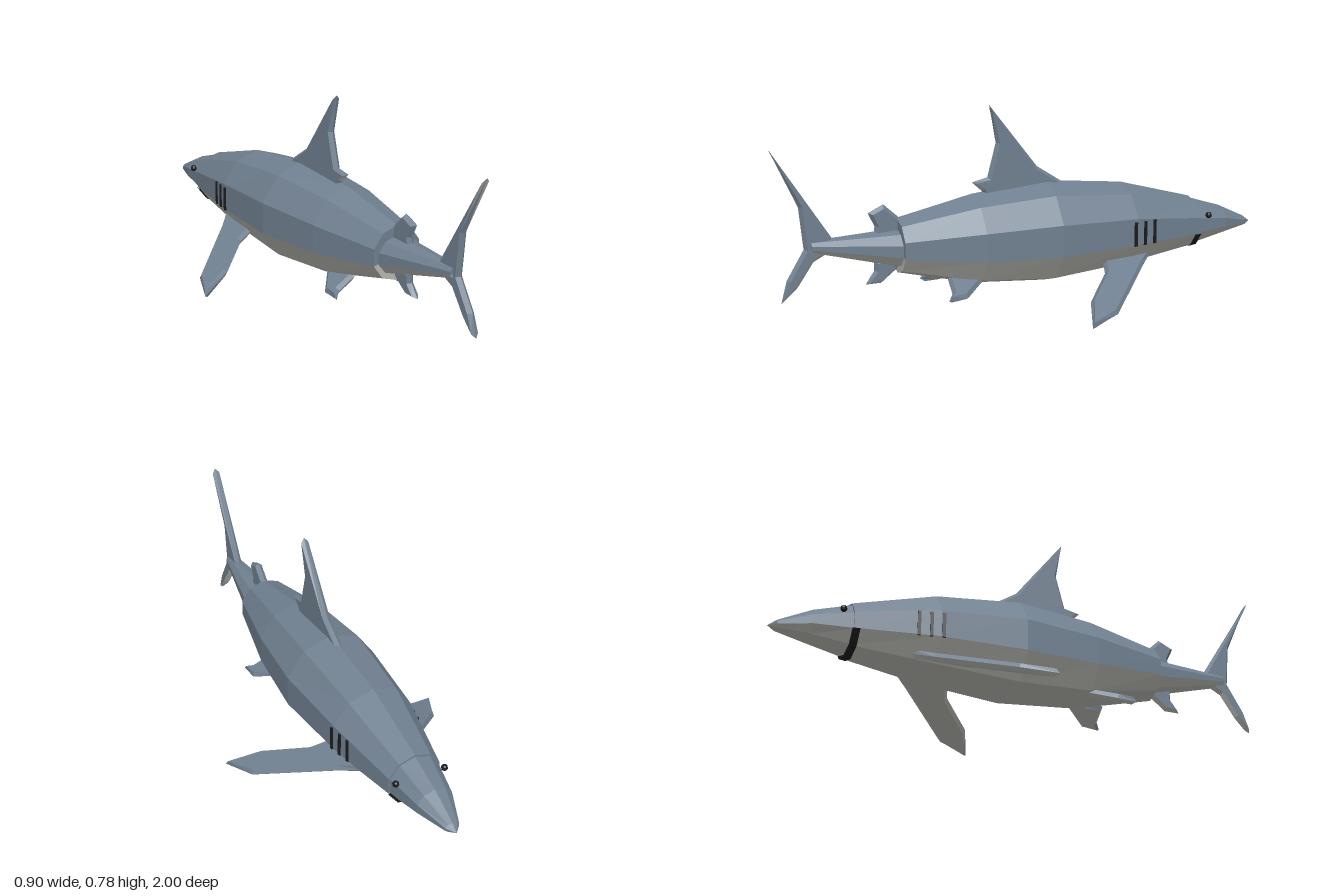
import * as THREE from 'three';

const mat = (name, color) => {
  const m = new THREE.MeshStandardMaterial({ color, flatShading: true });
  m.name = name;
  return m;
};

export function createModel() {
  const slate = mat('slate back', 0x708090);
  const pale = mat('pale belly', 0xb9b9b3);
  const black = mat('black detail', 0x1c1c1e);
  const shark = new THREE.Group();
  shark.name = 'shark';

  const add = (name, geometry, material) => {
    const mesh = new THREE.Mesh(geometry, material);
    mesh.name = name;
    shark.add(mesh);
    return mesh;
  };

  // Ten-sided loft through rings [z, centreY, radiusX, radiusY], from side k0 to side k1
  const loft = (rings, k0, k1) => {
    const point = ([z, cy, rx, ry], k) => {
      const a = (k * Math.PI) / 5;
      return [rx * Math.sin(a), cy + ry * Math.cos(a), z];
    };
    const pos = [];
    for (let i = 0; i < rings.length - 1; i++) {
      for (let k = k0; k < k1; k++) {
        const a = point(rings[i], k), b = point(rings[i], k + 1);
        const c = point(rings[i + 1], k + 1), d = point(rings[i + 1], k);
        if (rings[i + 1][2] > 0) pos.push(...a, ...d, ...c);
        if (rings[i][2] > 0) pos.push(...a, ...c, ...b);
      }
    }
    const g = new THREE.BufferGeometry();
    g.setAttribute('position', new THREE.Float32BufferAttribute(pos, 3));
    g.computeVertexNormals();
    return g;
  };

  // Body sections: dark upper six sides, pale lower four
  const sections = {
    snout: [[-1, 0.217, 0, 0], [-0.97, 0.222, 0.03, 0.018], [-0.85, 0.24, 0.075, 0.058],
      [-0.7, 0.248, 0.106, 0.098]],
    trunk: [[-0.71, 0.248, 0, 0], [-0.71, 0.248, 0.109, 0.102], [-0.4, 0.268, 0.168, 0.168],
      [-0.07, 0.272, 0.195, 0.2], [0.23, 0.272, 0.166, 0.175], [0.53, 0.278, 0.106, 0.105],
      [0.53, 0.278, 0, 0]],
    tailStem: [[0.5, 0.267, 0.09, 0.078], [0.86, 0.308, 0.026, 0.022], [0.86, 0.308, 0, 0]],
  };
  for (const [name, rings] of Object.entries(sections)) {
    add(name + 'Back', loft(rings, -3, 3), slate);
    add(name + 'Belly', loft(rings, 3, 7), pale);
  }

  // Mouth band under the head
  add('mouth', loft([[-0.714, 0.248, 0.1, 0.094], [-0.714, 0.248, 0.113, 0.106],
    [-0.688, 0.249, 0.117, 0.11], [-0.688, 0.249, 0.1, 0.094]], 3, 7), black);

  // Bevelled fin blade from an outline in the xy plane, 0.03 thick
  const blade = (points) => {
    const shape = new THREE.Shape(points.map(([x, y]) => new THREE.Vector2(x, y)));
    const g = new THREE.ExtrudeGeometry(shape, {
      depth: 0.001, bevelThickness: 0.0145, bevelSize: 0.012, bevelOffset: -0.012, bevelSegments: 1,
    });
    return g.translate(0, 0, -0.0005);
  };

  // Faces that look downwards take the pale material
  const addFin = (name, geometry) => {
    const g = geometry.index ? geometry.toNonIndexed() : geometry;
    g.clearGroups();
    const p = g.attributes.position;
    const tri = new THREE.Triangle(), n = new THREE.Vector3();
    for (let i = 0; i < p.count; i += 3) {
      tri.setFromAttributeAndIndices(p, i, i + 1, i + 2).getNormal(n);
      g.addGroup(i, 3, n.y < -0.4 ? 1 : 0);
    }
    add(name, g, [slate, pale]);
  };

  // Upright fins, outlines given as [z, y]
  const upright = {
    dorsalFin: [[0.155, 0.78], [-0.04, 0.53], [-0.14, 0.465], [-0.1, 0.42], [0.17, 0.42],
      [0.19, 0.455], [0.228, 0.49], [0.165, 0.505], [0.13, 0.635]],
    tailFin: [[1, 0.68], [0.78, 0.335], [0.78, 0.285], [0.85, 0.25], [0.912, 0.16],
      [0.975, 0.105], [0.952, 0.19], [0.885, 0.3], [0.9, 0.46]],
    secondDorsalFin: [[0.64, 0.412], [0.58, 0.44], [0.515, 0.38], [0.515, 0.32], [0.62, 0.32],
      [0.615, 0.36]],
    analFin: [[0.655, 0.14], [0.595, 0.14], [0.53, 0.19], [0.53, 0.23], [0.62, 0.23],
      [0.62, 0.19]],
  };
  for (const [name, points] of Object.entries(upright)) {
    addFin(name, blade(points).rotateY(-Math.PI / 2));
  }

  // Paired parts
  const pectoral = [[0.1, -0.49], [0.17, -0.425], [0.43, -0.195], [0.487, -0.065],
    [0.345, -0.12], [0.19, -0.25], [0.1, -0.28]];
  const pelvic = [[0.06, 0.2], [0.1, 0.225], [0.178, 0.31], [0.182, 0.385], [0.145, 0.36],
    [0.06, 0.35]];
  for (const [side, s] of [['left', 1], ['right', -1]]) {
    const pairedFin = (name, points, angle, y) =>
      addFin(side + name, blade(points.map(([u, z]) => [s * u, z]))
        .rotateX(Math.PI / 2).rotateZ(-s * angle).translate(0, y, 0));
    pairedFin('PectoralFin', pectoral, 0.384, 0.195);
    pairedFin('PelvicFin', pelvic, 0.46, 0.168);

    add(side + 'Eye', new THREE.SphereGeometry(0.013, 8, 6), black)
      .position.set(s * 0.099, 0.287, -0.75);

    // Gill slits lie on the flank, following its taper
    for (const z of [-0.39, -0.435, -0.48]) {
      const gill = add(side + 'Gill', new THREE.BoxGeometry(0.009, 0.095, 0.012), black);
      gill.position.set(s * (0.16 + (z + 0.4) * 0.18), 0.26, z);
      gill.rotation.y = s * 0.18;
    }
  }
  return shark;
}
